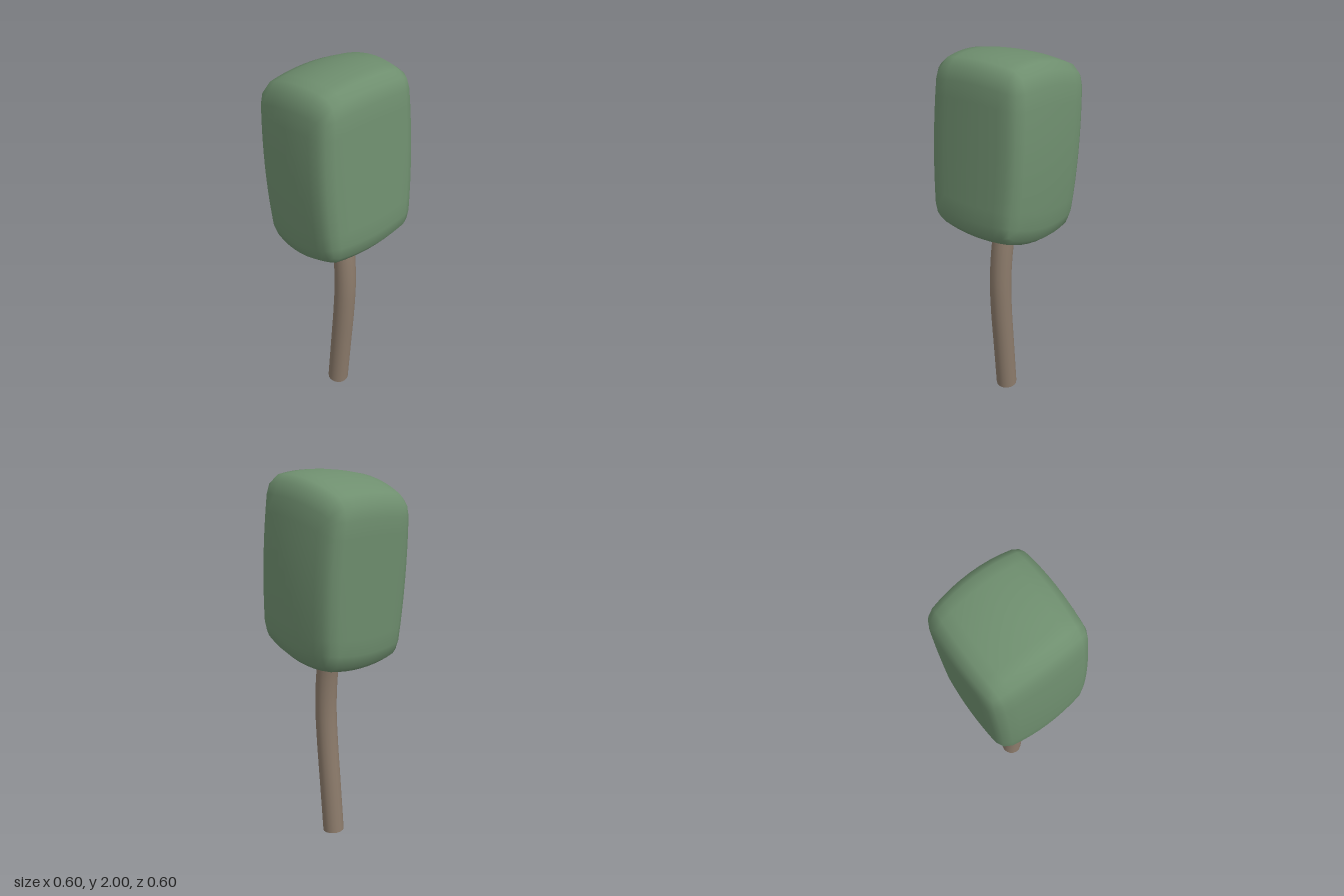
import * as THREE from 'three';
import { mergeVertices } from 'three/addons/utils/BufferGeometryUtils.js';

// Rounded, slightly bulging and leaning block of leaves
function foliageGeometry() {
  let geo = new THREE.BoxGeometry(2, 2, 2, 10, 10, 10);
  geo.deleteAttribute('uv');
  geo.deleteAttribute('normal');
  geo = mergeVertices(geo, 1e-4);
  const pos = geo.attributes.position;
  const p = new THREE.Vector3();
  const core = new THREE.Vector3();
  const round = 0.2;
  for (let i = 0; i < pos.count; i++) {
    p.fromBufferAttribute(pos, i);
    // round the edges and corners
    core.copy(p).clampScalar(-1 + round, 1 - round);
    p.sub(core).setLength(round).add(core);
    // bulge each face
    const u2 = p.x * p.x, v2 = p.y * p.y, w2 = p.z * p.z;
    const x = 0.275 * p.x * (1 - 0.06 * w2);
    const y = 0.48 * p.y * (1 - 0.11 * u2 - 0.06 * w2);
    const z = 0.3 * p.z * (1 - 0.08 * u2 - 0.08 * v2);
    // lean the sides and slope the top and bottom
    pos.setXYZ(i, x - 0.068 * y, 1.51 + y + 0.17 * x - 0.05 * z, z);
  }
  geo.computeVertexNormals();
  return geo;
}

export function createModel() {
  const group = new THREE.Group();
  const green = new THREE.MeshStandardMaterial({ color: 0x6f8f6f });
  const brown = new THREE.MeshStandardMaterial({ color: 0x8c7b6b });

  const foliage = new THREE.Mesh(foliageGeometry(), green);
  foliage.name = 'foliage';
  group.add(foliage);

  // Curved trunk, running up into the foliage
  const radius = 0.058, sides = 16;
  const path = new THREE.CatmullRomCurve3([
    [0.006, 0.006, -0.004], [0.031, 0.3, -0.005], [0.052, 0.55, -0.006],
    [0.06, 0.74, -0.008], [0.05, 0.92, -0.01], [0.03, 1.05, -0.011], [0.012, 1.14, -0.012],
  ].map((a) => new THREE.Vector3(...a)));
  const trunk = new THREE.Mesh(new THREE.TubeGeometry(path, 20, radius, sides), brown);
  trunk.name = 'trunk';
  group.add(trunk);

  // Flat ends of the trunk
  for (const [name, t, dir] of [['trunkBase', 0, -1], ['trunkTop', 1, 1]]) {
    const cap = new THREE.Mesh(new THREE.CircleGeometry(radius, sides), brown);
    cap.name = name;
    cap.position.copy(path.getPointAt(t));
    cap.quaternion.setFromUnitVectors(
      new THREE.Vector3(0, 0, 1), path.getTangentAt(t).multiplyScalar(dir));
    group.add(cap);
  }
  return group;
}
